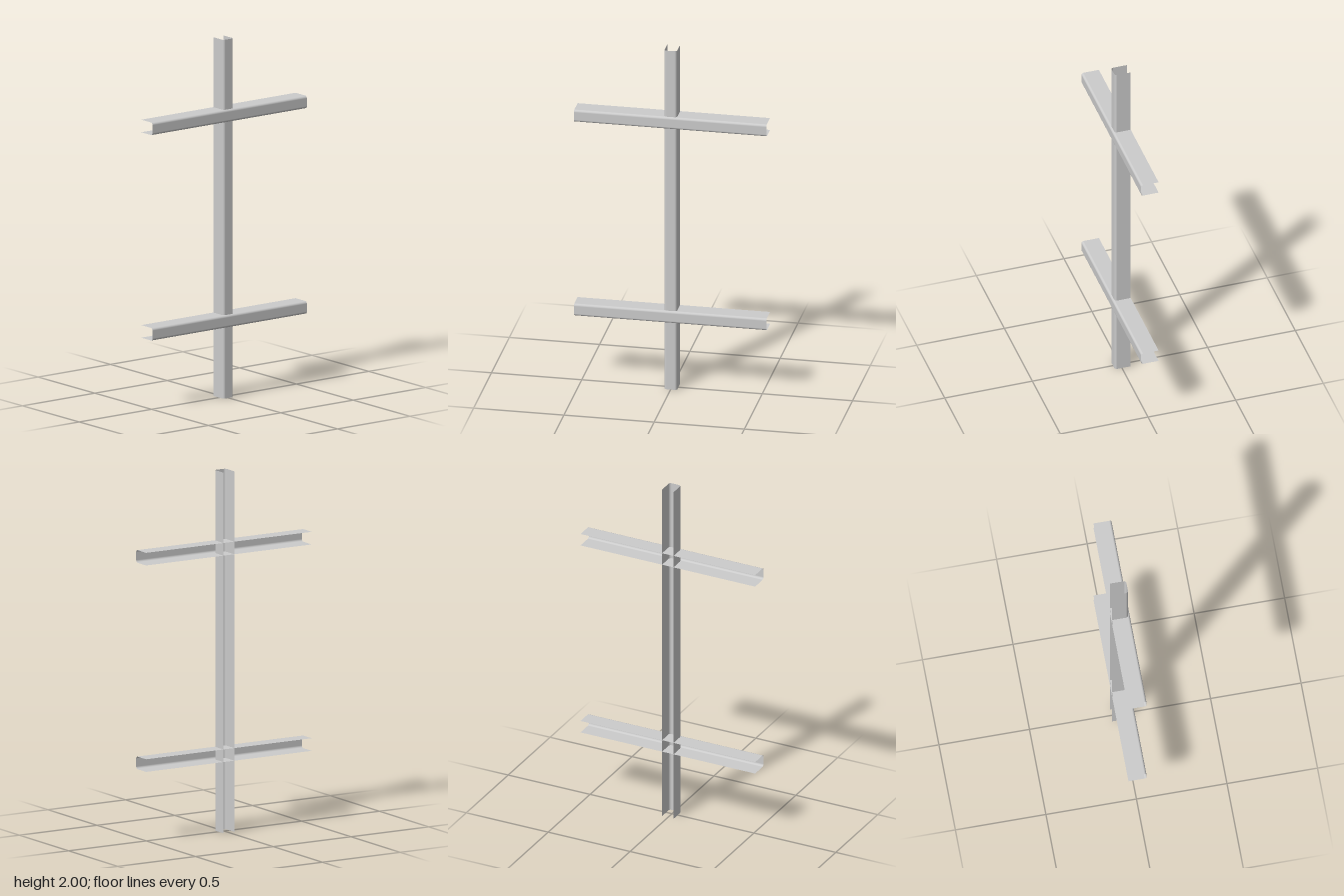
import * as THREE from 'three';

const material = new THREE.MeshStandardMaterial({ color: 0xcccccc, side: THREE.DoubleSide });

// Thin sheet channel along y: a U section open to the back, with rounded front corners
function channel(name, length, width, front, back, radius) {
  const h = width / 2, steps = 6;
  const section = [[-h, back, -1, 0]]; // x, z, normal x, normal z
  for (const side of [-1, 1]) {
    for (let i = 0; i <= steps; i++) {
      const t = (side < 0 ? i : steps - i) / steps * Math.PI / 2;
      const nx = side * Math.cos(t), nz = Math.sin(t);
      section.push([side * (h - radius) + radius * nx, front - radius + radius * nz, nx, nz]);
    }
  }
  section.push([h, back, 1, 0]);

  // Fold a flat strip around the section
  const n = section.length;
  const geometry = new THREE.PlaneGeometry(1, length, n - 1, 1);
  const { position, normal } = geometry.attributes;
  for (let i = 0; i < position.count; i++) {
    const [x, z, nx, nz] = section[i % n];
    position.setXYZ(i, x, position.getY(i), z);
    normal.setXYZ(i, nx, 0, nz);
  }
  const mesh = new THREE.Mesh(geometry, material);
  mesh.name = name;
  return mesh;
}

export function createModel() {
  const model = new THREE.Group();
  model.name = 'channelFrame';

  // Upright post
  const post = channel('post', 2, 0.07, 0.04, -0.05, 0.013);
  post.position.y = 1;
  model.add(post);

  // Two cross rails, standing slightly proud of the post
  for (const [name, y] of [['lowerRail', 0.43], ['upperRail', 1.575]]) {
    const rail = channel(name, 1.066, 0.07, 0.05, -0.05, 0.013);
    rail.rotation.z = Math.PI / 2;
    rail.position.y = y;
    model.add(rail);
  }
  return model;
}
